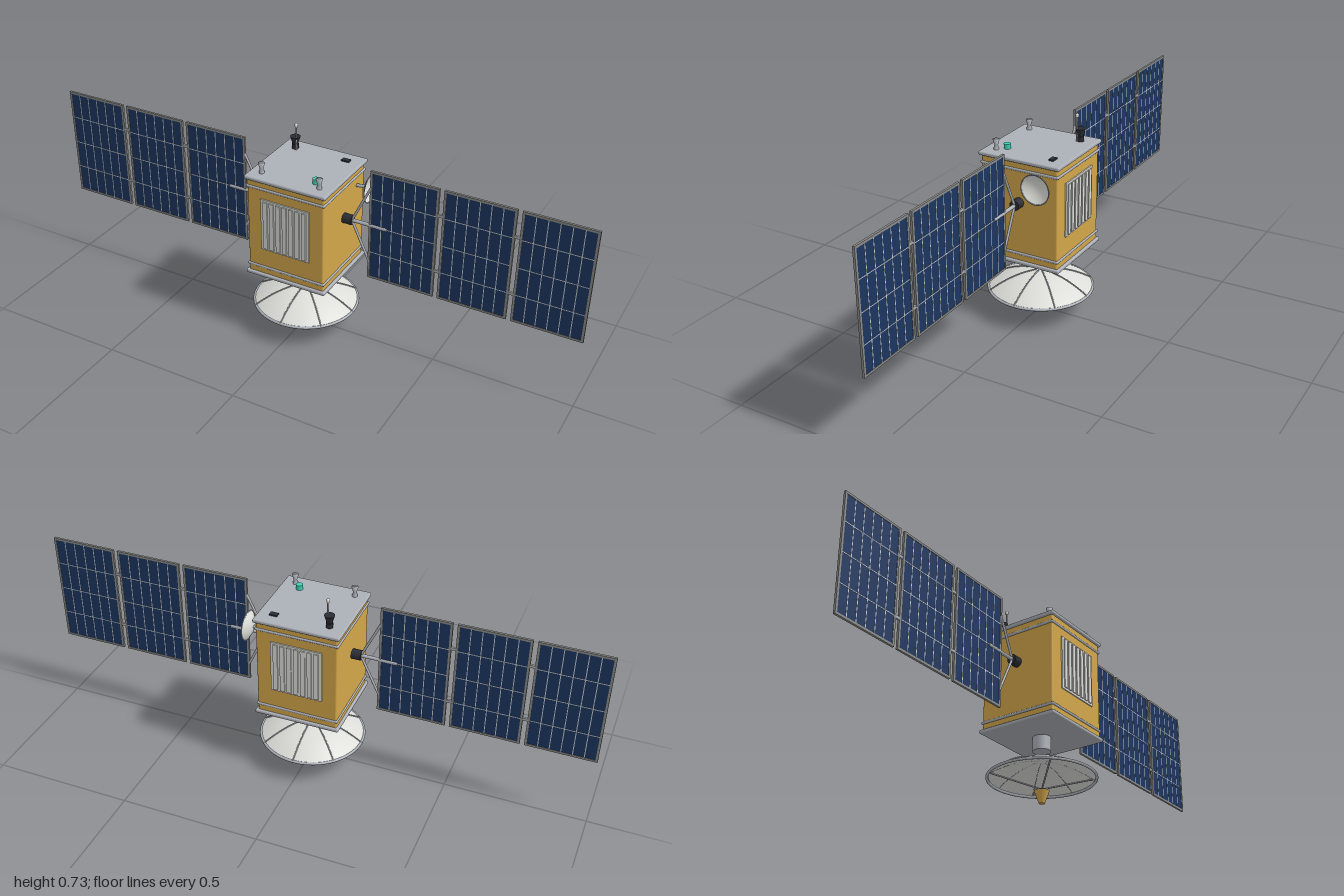
import * as THREE from 'three';
import { RoundedBoxGeometry } from 'three/addons/geometries/RoundedBoxGeometry.js';

const mat = (name, color, side = THREE.FrontSide) => {
  const m = new THREE.MeshStandardMaterial({ color, side });
  m.name = name;
  return m;
};

export function createModel() {
  const gold = mat('gold foil', 0xd2a64a);
  const grey = mat('grey metal', 0xacb0b7);
  const white = mat('white paint', 0xdcdcd8, THREE.DoubleSide);
  const dark = mat('dark fittings', 0x2a2d34);
  const blue = mat('solar cell blue', 0x1c3560);
  const frame = mat('panel frame grey', 0x8a8a88);
  const line = mat('cell line silver', 0xc4c8cc);
  const teal = mat('teal sensor', 0x40d0b4);

  const model = new THREE.Group();
  model.name = 'satellite';

  const add = (parent, name, geo, material, x = 0, y = 0, z = 0) => {
    const mesh = new THREE.Mesh(geo, material);
    mesh.name = name;
    mesh.position.set(x, y, z);
    parent.add(mesh);
    return mesh;
  };
  const group = (parent, name) => {
    const g = new THREE.Group();
    g.name = name;
    parent.add(g);
    return g;
  };
  const box = (w, h, d) => new THREE.BoxGeometry(w, h, d);
  const cyl = (top, bottom, h, n = 24) => new THREE.CylinderGeometry(top, bottom, h, n);
  // Round rod between two points
  const rod = (parent, name, a, b, r, material) => {
    const p = new THREE.Vector3(...a), q = new THREE.Vector3(...b);
    const dir = q.clone().sub(p);
    const mesh = add(parent, name, cyl(r, r, dir.length(), 24), material);
    mesh.position.copy(p).add(q).multiplyScalar(0.5);
    mesh.quaternion.setFromUnitVectors(new THREE.Vector3(0, 1, 0), dir.normalize());
    return mesh;
  };

  // Foil-wrapped body
  add(model, 'body', new RoundedBoxGeometry(0.29, 0.375, 0.29, 3, 0.006), gold, 0, 0.431, 0);

  // End plates and belts around the body
  for (const y of [0.2455, 0.6175]) {
    add(model, 'endPlate', new RoundedBoxGeometry(0.307, 0.014, 0.307, 3, 0.005), grey, 0, y, 0);
  }
  for (const y of [0.278, 0.585]) {
    add(model, 'belt', new RoundedBoxGeometry(0.298, 0.01, 0.298, 3, 0.004), grey, 0, y, 0);
  }

  // Radiator louvres on front and back
  for (const s of [1, -1]) {
    const louvre = group(model, s > 0 ? 'frontLouvre' : 'backLouvre');
    add(louvre, 'louvreBase', box(0.184, 0.196, 0.006), white, 0, 0.45, s * 0.1465);
    for (let i = 0; i < 7; i++) {
      add(louvre, 'louvreSlat', box(0.016, 0.182, 0.004), white, (i - 3) * 0.0245, 0.45, s * 0.1515);
    }
  }

  // Solar wings
  const W = 0.243, H = 0.413, cy = 0.468;
  for (const s of [1, -1]) {
    const wing = group(model, s > 0 ? 'leftWing' : 'rightWing');
    const hub = add(wing, 'wingHub', cyl(0.018, 0.018, 0.034, 16), dark, s * 0.161, cy, 0);
    hub.rotation.z = Math.PI / 2;
    rod(wing, 'wingBoom', [s * 0.17, cy, 0], [s * 0.306, cy, 0], 0.0065, grey);
    for (const v of [1, -1]) {
      rod(wing, 'wingStrut', [s * 0.175, cy, 0], [s * 0.244, cy + v * 0.145, 0], 0.0045, grey);
    }
    for (let i = 0; i < 3; i++) {
      const panel = group(wing, 'solarPanel');
      panel.position.set(s * (0.3615 + i * 0.2585), cy, 0);
      add(panel, 'panelCells', box(W - 0.012, H - 0.012, 0.005), blue);
      for (const e of [1, -1]) {
        add(panel, 'panelRail', box(W, 0.008, 0.008), frame, 0, e * (H / 2 - 0.004), 0);
        add(panel, 'panelStile', box(0.008, H, 0.008), frame, e * (W / 2 - 0.004), 0, 0);
      }
      // Cell dividers show on both faces
      for (let c = 1; c < 6; c++) {
        add(panel, 'cellLine', box(0.003, H - 0.016, 0.0062), line, (c / 6 - 0.5) * (W - 0.012), 0, 0);
      }
      for (let r = 1; r < 4; r++) {
        add(panel, 'cellLine', box(W - 0.016, 0.003, 0.0062), line, 0, (r / 4 - 0.5) * H, 0);
      }
      if (i < 2) {
        for (const y of [0.365, 0.577]) {
          add(wing, 'panelHinge', box(0.022, 0.01, 0.007), grey, s * (0.49075 + i * 0.2585), y, 0);
        }
      }
    }
  }

  // Neck under the body
  add(model, 'neck', cyl(0.032, 0.032, 0.054, 32), grey, 0, 0.214, 0);

  // Main dish, opening downwards
  const dish = group(model, 'mainDish');
  const dishY = (r) => 0.152 - 0.061 * (r / 0.188) ** 2;
  const radii = Array.from({ length: 13 }, (_, i) => 0.188 * i / 12);
  const profile = radii.map((r) => new THREE.Vector2(r, dishY(r))).reverse();
  add(dish, 'dishShell', new THREE.LatheGeometry(profile, 64), white);
  const rim = add(dish, 'dishRim', new THREE.TorusGeometry(0.1855, 0.005, 12, 64), grey, 0, 0.0905, 0);
  rim.rotation.x = Math.PI / 2;
  const ribPath = new THREE.CatmullRomCurve3(
    radii.slice(1).map((r) => new THREE.Vector3(r, dishY(r) + 0.0018, 0)));
  const ribGeo = new THREE.TubeGeometry(ribPath, 16, 0.0024, 10);
  for (let i = 0; i < 8; i++) {
    add(dish, 'dishRib', ribGeo, grey).rotation.y = i * Math.PI / 4;
  }
  // Feed horn and its struts, set on the diagonals
  for (let i = 0; i < 4; i++) {
    const a = (i + 0.5) * Math.PI / 2;
    rod(dish, 'feedStrut', [0.174 * Math.cos(a), 0.098, 0.174 * Math.sin(a)], [0, 0.051, 0], 0.003, grey);
  }
  add(dish, 'feedHorn', cyl(0.026, 0.01, 0.045, 24), gold, 0, 0.0225, 0);

  // Small dish on the left side
  const side = group(model, 'sideDish');
  side.position.set(0.178, 0.552, -0.091);
  side.rotation.z = -Math.PI / 2;
  const bowl = Array.from({ length: 9 }, (_, i) => {
    const r = 0.052 * i / 8;
    return new THREE.Vector2(r, 0.02 * (r / 0.052) ** 2);
  });
  add(side, 'sideDishBowl', new THREE.LatheGeometry(bowl, 40), white);
  const sideRim = add(side, 'sideDishRim', new THREE.TorusGeometry(0.052, 0.002, 8, 40), grey, 0, 0.02, 0);
  sideRim.rotation.x = Math.PI / 2;
  rod(model, 'sideDishArm', [0.14, 0.548, -0.091], [0.177, 0.552, -0.091], 0.006, grey);

  // Fittings on the roof
  const top = group(model, 'roofFittings');
  const lathe = (pts) => new THREE.LatheGeometry(pts.map(([r, y]) => new THREE.Vector2(r, y)), 20);
  add(top, 'thruster', cyl(0.012, 0.012, 0.018, 20), dark, -0.099, 0.633, -0.099);
  add(top, 'thrusterBell', cyl(0.018, 0.009, 0.03, 20), dark, -0.099, 0.655, -0.099);
  rod(top, 'antennaMast', [-0.09, 0.622, -0.09], [-0.09, 0.712, -0.09], 0.003, grey);
  add(top, 'antennaTip', new THREE.CapsuleGeometry(0.006, 0.004, 6, 14), white, -0.09, 0.717, -0.09);
  for (const x of [-0.109, 0.109]) {
    add(top, 'smallHorn', lathe([[0.009, 0], [0.009, 0.008], [0.006, 0.017], [0.012, 0.038], [0, 0.038]]),
      grey, x, 0.623, 0.109);
  }
  add(top, 'tealSensor', cyl(0.012, 0.012, 0.02, 20), teal, 0.082, 0.632, 0.082);
  add(top, 'starTracker', box(0.028, 0.008, 0.018), dark, 0.097, 0.6255, -0.101);

  return model;
}
